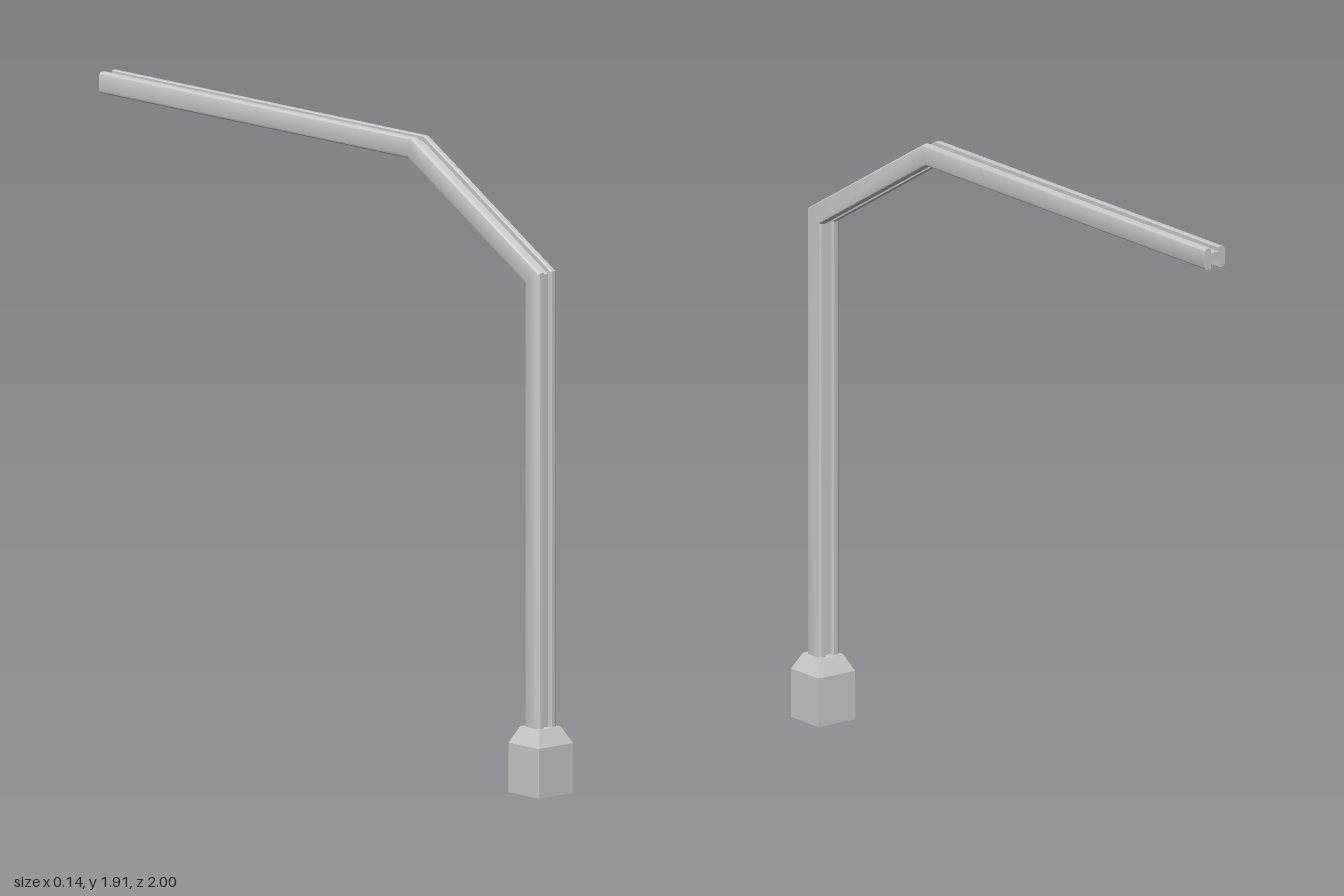
import * as THREE from 'three';
import { toCreasedNormals } from 'three/addons/utils/BufferGeometryUtils.js';

const material = new THREE.MeshStandardMaterial({ color: 0xcccccc });

// Half profile of the grooved rail (x = width, y = outward); mirrored into all four quadrants
const QUARTER = [[0.038, 0.022], [0.036, 0.0275], [0.031, 0.0315], [0.025, 0.0325],
  [0.016, 0.0325], [0.013, 0.03], [0.013, 0.017]];

function railShape() {
  const back = [...QUARTER].reverse();
  const points = [
    ...QUARTER,
    ...back.map(([x, y]) => [-x, y]),
    ...QUARTER.map(([x, y]) => [-x, -y]),
    ...back.map(([x, y]) => [x, -y]),
  ];
  return new THREE.Shape(points.map(([x, y]) => new THREE.Vector2(x, y)));
}

// Path stations: centre (y, z) and the mitred outward direction (oy, oz)
const STATIONS = [
  { y: 0.005, z: 0.932, oy: 0, oz: 1 },
  { y: 1.56, z: 0.932, oy: 0.577, oz: 1 },
  { y: 1.875, z: 0.386, oy: 1, oz: 0.268 },
  { y: 1.875, z: -1, oy: 1, oz: 0 },
];

function createRail() {
  // One extrusion step per straight run; each ring is moved onto its station
  const geometry = new THREE.ExtrudeGeometry(railShape(), { depth: 3, steps: 3, bevelEnabled: false });
  const pos = geometry.attributes.position;
  for (let i = 0; i < pos.count; i++) {
    const s = STATIONS[Math.round(pos.getZ(i))];
    const out = pos.getY(i);
    pos.setXYZ(i, -pos.getX(i), s.y + s.oy * out, s.z + s.oz * out);
  }
  const rail = new THREE.Mesh(toCreasedNormals(geometry, 0.5), material);
  rail.name = 'bentRail';
  return rail;
}

function createBase() {
  // Square block with a tapered shoulder
  const geometry = new THREE.BoxGeometry(0.136, 0.2, 0.136, 1, 4, 1);
  const pos = geometry.attributes.position;
  for (let i = 0; i < pos.count; i++) {
    const y = pos.getY(i) + 0.1;
    const k = y > 0.19 ? 0.043 / 0.068 : 1;
    pos.setXYZ(i, pos.getX(i) * k, y, pos.getZ(i) * k);
  }
  const base = new THREE.Mesh(toCreasedNormals(geometry, 0.3), material);
  base.name = 'footBlock';
  base.position.z = 0.932;
  return base;
}

export function createModel() {
  const model = new THREE.Group();
  model.name = 'bentPost';
  model.add(createRail(), createBase());
  return model;
}
